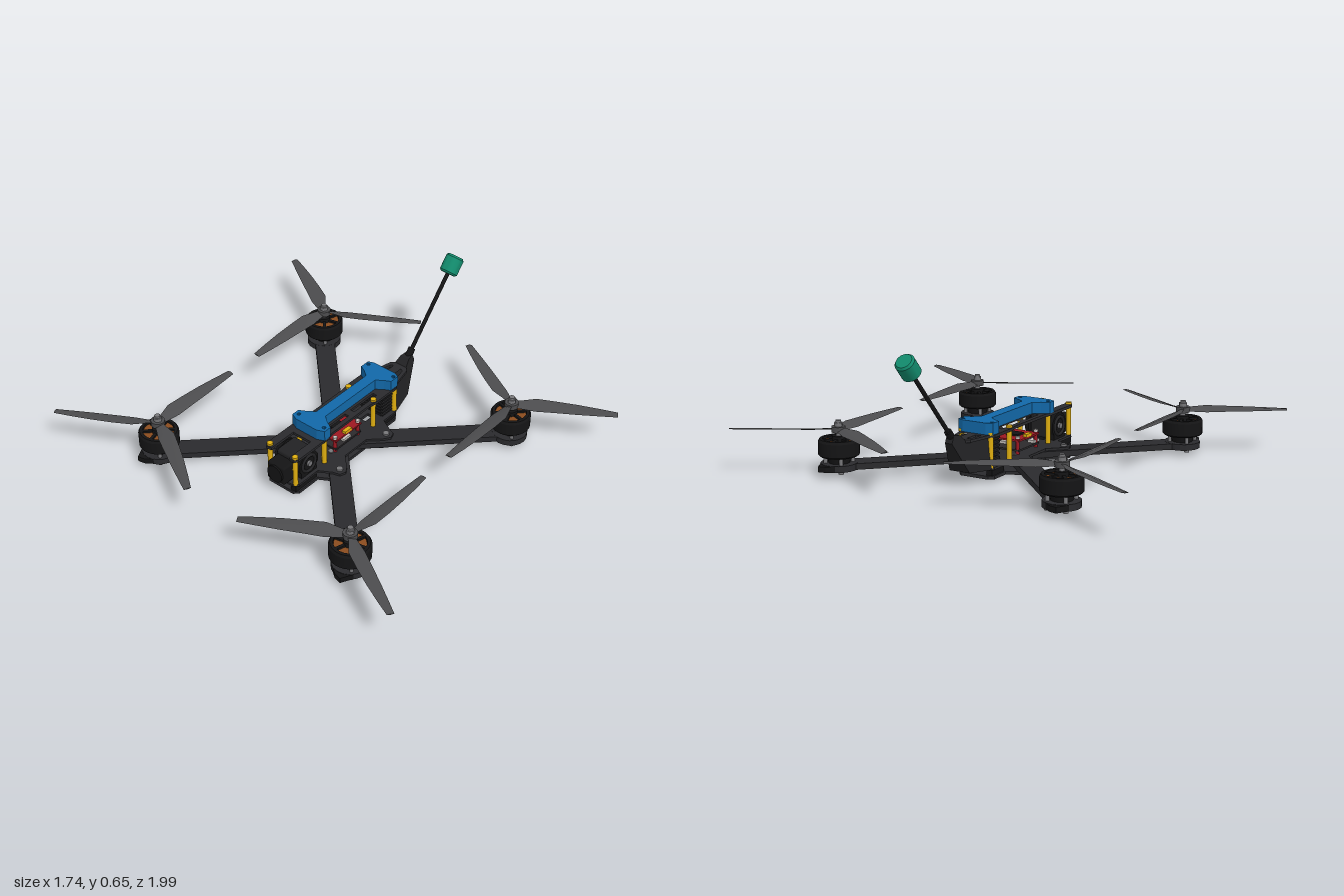
import * as THREE from 'three';
import { RoundedBoxGeometry } from 'three/addons/geometries/RoundedBoxGeometry.js';
import { toCreasedNormals } from 'three/addons/utils/BufferGeometryUtils.js';

const mat = (color, extra = {}) => new THREE.MeshStandardMaterial({ color, ...extra });
const M = {
  carbon: mat(0x2a2a2d), black: mat(0x141415), dark: mat(0x222224), steel: mat(0x77777a),
  copper: mat(0x8a4c1e), gold: mat(0xdfae10), blue: mat(0x1268a8), green: mat(0x128a6c),
  red: mat(0x9c1822), board: mat(0x2c2a2c), pale: mat(0xc8c4c0),
  prop: mat(0x4c4c4e, { side: THREE.DoubleSide }),
};

function add(parent, name, geo, material, x = 0, y = 0, z = 0) {
  const m = new THREE.Mesh(geo, material);
  m.name = name;
  m.position.set(x, y, z);
  parent.add(m);
  return m;
}
const box = (w, h, d) => new THREE.BoxGeometry(w, h, d);
const cyl = (r, h, n = 20, r2 = r) => new THREE.CylinderGeometry(r, r2, h, n);

// Flat plate from an outline in x/z, between heights y0 and y1
function plate(pts, y0, y1, holes = []) {
  const toV = (p) => p.map(([x, z]) => new THREE.Vector2(x, z));
  const s = new THREE.Shape(toV(pts));
  for (const h of holes) s.holes.push(new THREE.Path(toV(h)));
  return new THREE.ExtrudeGeometry(s, { depth: y1 - y0, bevelEnabled: false })
    .rotateX(Math.PI / 2).translate(0, y1, 0);
}
const circle = (x, z, r, n = 16) => Array.from({ length: n }, (_, i) => {
  const a = (i / n) * Math.PI * 2;
  return [x + r * Math.cos(a), z + r * Math.sin(a)];
});
const rect = (x0, x1, z0, z1) => [[x0, z0], [x1, z0], [x1, z1], [x0, z1]];
// Closes half an outline (z > 0) by mirroring it
const mirrored = (half) => [...half, ...half.slice().reverse().map(([x, z]) => [x, -z])];

// Twisted blade along +x from lens-shaped sections: radius, leading z, trailing z, pitch rise
function bladeGeometry() {
  const rows = [[0.015, -0.016, 0.016, 0.014], [0.05, -0.026, 0.02, 0.016], [0.11, -0.047, 0.026, 0.018],
    [0.2, -0.046, 0.023, 0.013], [0.3, -0.041, 0.02, 0.01], [0.4, -0.032, 0.015, 0.006], [0.485, -0.022, 0.01, 0.003]];
  const pos = [], idx = [];
  rows.forEach(([r, a, b, rise]) => {
    const mid = (a + b) / 2, t = 0.004;
    pos.push(r, rise / 2, a, r, t, mid, r, -rise / 2, b, r, -t * 0.5, mid);
  });
  for (let i = 0; i < rows.length - 1; i++) for (let j = 0; j < 4; j++) {
    const p = i * 4 + j, q = i * 4 + ((j + 1) % 4);
    idx.push(p, q, p + 4, q, q + 4, p + 4);
  }
  const e = (rows.length - 1) * 4;
  idx.push(e, e + 1, e + 2, e, e + 2, e + 3);
  const g = new THREE.BufferGeometry();
  g.setAttribute('position', new THREE.Float32BufferAttribute(pos, 3));
  g.setIndex(idx);
  return toCreasedNormals(g, 0.6);
}

function motor() {
  const g = new THREE.Group();
  g.name = 'motor';
  // Bell wall, open on top between the spokes
  const wall = [[0.07, 0.088], [0.086, 0.088], [0.093, 0.095], [0.093, 0.155], [0.086, 0.166], [0.072, 0.166], [0.072, 0.088]]
    .map(([x, y]) => new THREE.Vector2(x, y));
  add(g, 'bell', toCreasedNormals(new THREE.LatheGeometry(wall, 32), 0.5), M.black);
  add(g, 'windings', cyl(0.071, 0.05, 24), M.copper, 0, 0.13);
  for (let i = 0; i < 6; i++) {
    const s = add(g, 'bellSpoke', box(0.075, 0.01, 0.014).translate(0.0375, 0, 0), M.black, 0, 0.16);
    s.rotation.y = (i * Math.PI) / 3 + 0.3;
  }
  add(g, 'bellCap', cyl(0.03, 0.026, 20), M.black, 0, 0.165);
  add(g, 'motorBase', cyl(0.058, 0.048, 20, 0.048), M.black, 0, 0.079);
  for (let i = 0; i < 4; i++) {
    const a = (i * Math.PI) / 2 + Math.PI / 4;
    add(g, 'motorPost', cyl(0.009, 0.07, 10), M.steel, 0.062 * Math.cos(a), 0.056, 0.062 * Math.sin(a));
    add(g, 'motorScrew', cyl(0.012, 0.01, 10), M.steel, 0.062 * Math.cos(a), 0.02, 0.062 * Math.sin(a));
  }
  add(g, 'shaft', cyl(0.013, 0.09, 14), M.steel, 0, 0.203);
  return g;
}

// One corner: arm, motor and propeller; +x points inward, -z outward
function corner(blade) {
  const g = new THREE.Group();
  const arm = plate(rect(0, 0.74, -0.048, 0.048), 0.027, 0.055);
  add(g, 'arm', arm, M.carbon).rotation.y = -Math.atan2(0.57, 0.574);
  add(g, 'motorPad', plate(circle(0, 0, 0.083, 20), 0.0265, 0.0555), M.carbon);
  add(g, 'armTip', plate([[-0.04, -0.07], [-0.108, -0.035], [-0.1, 0], [-0.07, 0.04], [0, 0]], 0.028, 0.054), M.black);
  g.add(motor());
  const prop = new THREE.Group();
  prop.name = 'propeller';
  prop.position.y = 0.207;
  for (let i = 0; i < 3; i++) add(prop, 'blade', blade, M.prop).rotation.y = (i * Math.PI * 2) / 3;
  add(prop, 'propHub', cyl(0.032, 0.026, 24), M.prop);
  add(prop, 'propNut', cyl(0.02, 0.018, 6), M.steel, 0, 0.022);
  g.add(prop);
  return g;
}

export function createModel() {
  const root = new THREE.Group();
  root.name = 'quadcopter';
  const blade = bladeGeometry();
  for (const sx of [1, -1]) for (const sz of [1, -1]) {
    const c = corner(blade);
    c.name = (sx > 0 ? 'nose' : 'tail') + (sz > 0 ? 'Back' : 'Front') + 'Corner';
    c.position.set(sx > 0 ? -0.61 : 0.538, 0, -0.57 * sz);
    c.scale.set(sx, 1, sz);
    root.add(c);
  }

  // Lower plates with lobes that clamp the arms
  const base = mirrored([[-0.415, 0.07], [-0.395, 0.092], [-0.27, 0.092], [-0.235, 0.15], [-0.225, 0.185], [-0.195, 0.195],
    [-0.165, 0.175], [-0.11, 0.118], [0.04, 0.118], [0.095, 0.175], [0.125, 0.195], [0.155, 0.185], [0.17, 0.15],
    [0.2, 0.092], [0.29, 0.092], [0.312, 0.07]]);
  const baseHoles = [rect(-0.36, -0.25, -0.035, 0.035), rect(0.14, 0.23, -0.03, 0.03)];
  add(root, 'bottomPlate', plate(base, 0.012, 0.027, baseHoles), M.carbon);
  add(root, 'clampPlate', plate(base, 0.055, 0.066, baseHoles), M.carbon);
  for (const s of [1, -1]) {
    add(root, 'plateSpacer', box(0.14, 0.029, 0.03), M.black, -0.34, 0.041, 0.07 * s);
    add(root, 'plateSpacer', box(0.1, 0.029, 0.03), M.black, 0.25, 0.041, 0.07 * s);
    for (const x of [-0.2, 0.13]) add(root, 'clampScrew', cyl(0.015, 0.074, 14), M.steel, x, 0.037, 0.162 * s);
    for (const x of [-0.13, 0.055]) add(root, 'centreScrew', cyl(0.012, 0.07, 12), M.steel, x, 0.035, 0.05 * s);
    // Standoffs and their screws
    for (const x of [-0.4, -0.205, 0.14, 0.295]) {
      add(root, 'standoff', cyl(0.012, 0.14, 12), M.gold, x, 0.132, 0.075 * s);
      add(root, 'standoffScrew', cyl(0.014, 0.012, 12), M.gold, x, 0.217, 0.075 * s);
    }
  }

  // Top plate with a camera notch and slots
  const top = [[-0.27, 0], [-0.27, 0.052], [-0.415, 0.052], [-0.42, 0.08], [-0.4, 0.094], [-0.2, 0.094], [-0.16, 0.085],
    [0.1, 0.085], [0.15, 0.094], [0.29, 0.094], [0.312, 0.075], [0.42, 0.05], [0.45, 0.015]];
  const slots = [1, -1].flatMap((s) => [rect(-0.14, -0.02, 0.04 * s, 0.062 * s), rect(0.02, 0.18, 0.04 * s, 0.062 * s),
    [[0.335, 0.022 * s], [0.335, 0.05 * s], [0.4, 0.036 * s], [0.41, 0.022 * s]]]);
  add(root, 'topPlate', plate(mirrored(top.slice(1)), 0.2, 0.213, slots), M.carbon);

  // Battery pad: two wide ends joined by a strip
  const pad = mirrored([[-0.24, 0.06], [-0.225, 0.096], [-0.185, 0.096], [-0.165, 0.06], [-0.14, 0.027], [0.21, 0.027],
    [0.235, 0.06], [0.25, 0.09], [0.3, 0.09], [0.312, 0.06]]);
  add(root, 'batteryPad', plate(pad, 0.213, 0.266, [-0.205, 0.285].flatMap((x) => [1, -1].map((s) => circle(x, 0.075 * s, 0.009, 10)))), M.blue);

  // Electronics stack
  const stack = new THREE.Group();
  stack.name = 'electronicsStack';
  for (const y of [0.085, 0.13]) add(stack, 'circuitBoard', box(0.18, 0.008, 0.15), y < 0.1 ? M.board : M.red, -0.035, y);
  for (const x of [-0.115, 0.045]) for (const z of [-0.062, 0.062]) {
    add(stack, 'stackPost', cyl(0.009, 0.075, 10), M.red, x, 0.104, z);
    add(stack, 'stackNut', cyl(0.011, 0.01, 6), M.pale, x, 0.144, z);
  }
  for (const s of [1, -1]) {
    add(stack, 'connector', box(0.045, 0.014, 0.02), M.gold, -0.035, 0.14, 0.065 * s);
    add(stack, 'chip', box(0.05, 0.012, 0.035), M.pale, -0.075 + 0.04 * s, 0.095, 0.05 * s);
  }
  add(stack, 'processor', box(0.06, 0.008, 0.06), M.black, -0.035, 0.138);
  root.add(stack);

  // Camera with side mounts and lens at the nose
  const cam = new THREE.Group();
  cam.name = 'camera';
  cam.position.set(-0.31, 0.128, 0);
  add(cam, 'cameraBody', new RoundedBoxGeometry(0.12, 0.115, 0.11, 2, 0.012), M.dark, -0.01);
  add(cam, 'cameraFront', new RoundedBoxGeometry(0.075, 0.095, 0.1, 2, 0.01), M.black, -0.1, -0.012);
  add(cam, 'lensBarrel', cyl(0.043, 0.05, 24).rotateZ(Math.PI / 2), M.black, -0.121, -0.012);
  for (const s of [1, -1]) {
    add(cam, 'cameraMount', cyl(0.064, 0.02, 10).rotateX(Math.PI / 2), M.black, 0, 0, 0.065 * s);
    add(cam, 'mountRing', new THREE.TorusGeometry(0.042, 0.008, 8, 24), M.dark, 0, 0, 0.076 * s);
    add(cam, 'mountScrew', cyl(0.014, 0.012, 12).rotateX(Math.PI / 2), M.steel, 0, 0, 0.079 * s);
    add(cam, 'mountFoot', box(0.1, 0.03, 0.02), M.black, 0, -0.05, 0.065 * s);
  }
  root.add(cam);

  // Finned transmitter ahead of the tail
  add(root, 'transmitter', box(0.08, 0.125, 0.12), M.black, 0.255, 0.13);
  for (let i = 0; i < 7; i++) add(root, 'coolingFin', box(0.085, 0.008, 0.145), M.dark, 0.255, 0.076 + i * 0.018);

  // Tail mount: side profile tapered towards the antenna
  const profile = [[0.3, 0.056], [0.3, 0.2], [0.42, 0.2], [0.465, 0.24], [0.5, 0.245], [0.515, 0.21], [0.43, 0.066]];
  const tail = new THREE.ExtrudeGeometry(new THREE.Shape(profile.map(([x, y]) => new THREE.Vector2(x, y))), { depth: 2, bevelEnabled: false });
  tail.translate(0, 0, -1);
  const p = tail.attributes.position;
  for (let i = 0; i < p.count; i++) {
    const t = Math.max(0, Math.min(1, (p.getX(i) - 0.3) / 0.19));
    const low = p.getY(i) < 0.1 ? 0.018 : 0;
    p.setZ(i, p.getZ(i) * (0.068 + (0.018 - 0.068) * t + low));
  }
  tail.computeVertexNormals();
  add(root, 'tailMount', tail, M.dark);

  // Antenna, built upright and tilted back
  const antenna = new THREE.Group();
  antenna.name = 'antenna';
  antenna.position.set(0.47, 0.208, 0);
  antenna.rotation.z = -Math.atan2(0.34, 0.387);
  add(antenna, 'antennaSleeve', cyl(0.017, 0.08, 14), M.black, 0, 0.035);
  add(antenna, 'antennaRod', cyl(0.0095, 0.48, 12), M.black, 0, 0.24);
  const cap = [[0, 0.465], [0.036, 0.465], [0.044, 0.474], [0.044, 0.546], [0.036, 0.556], [0, 0.556]].map(([x, y]) => new THREE.Vector2(x, y));
  add(antenna, 'antennaCap', toCreasedNormals(new THREE.LatheGeometry(cap, 28), 0.6), M.green);
  root.add(antenna);
  return root;
}
